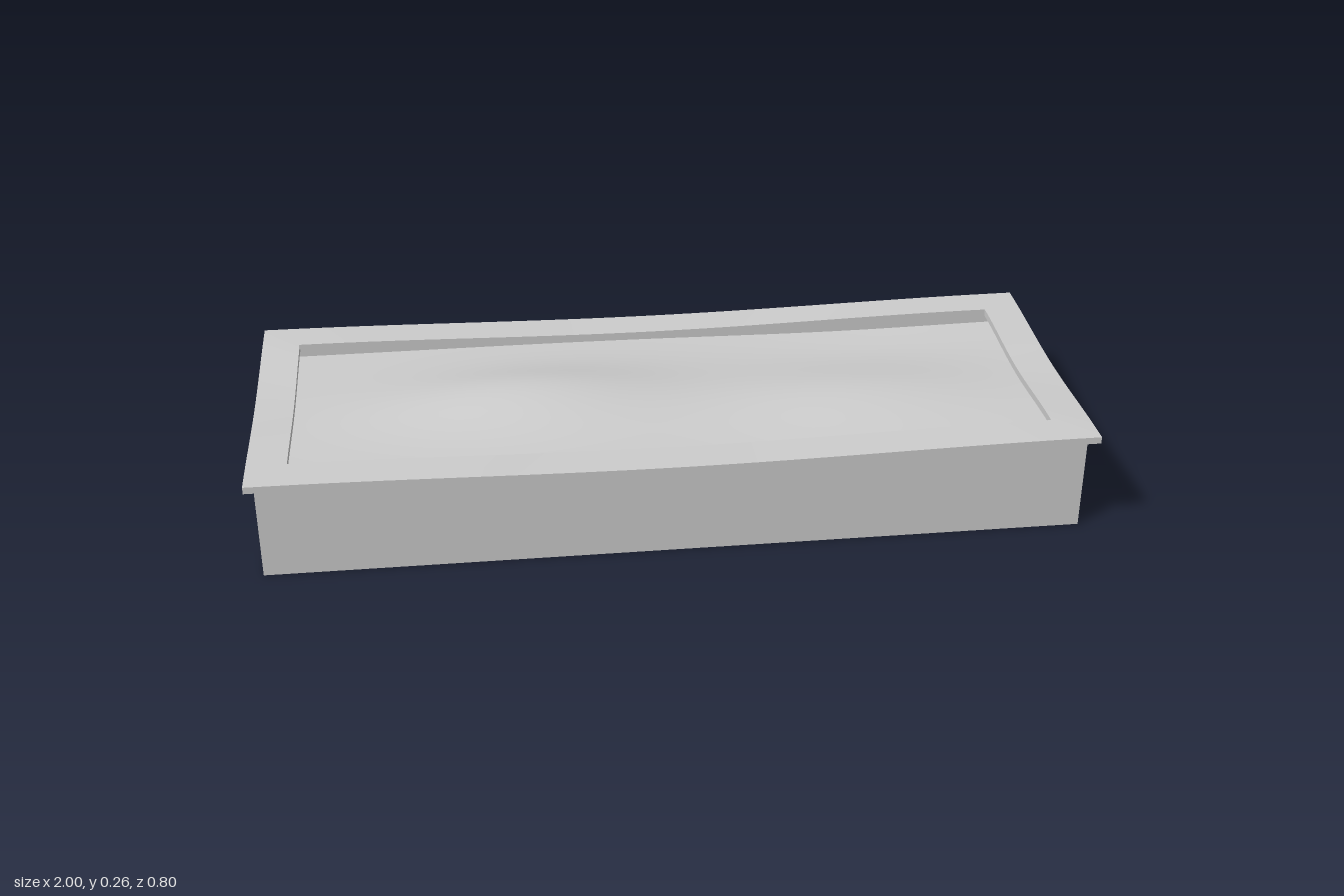
import * as THREE from 'three';

const material = new THREE.MeshStandardMaterial({ color: 0xcccccc });
const openMaterial = new THREE.MeshStandardMaterial({ color: 0xcccccc, side: THREE.DoubleSide });

function add(parent, name, geometry, mat = material) {
  const mesh = new THREE.Mesh(geometry, mat);
  mesh.name = name;
  parent.add(mesh);
  return mesh;
}

// Moves every vertex by a rule and refreshes the normals
function reshape(geometry, rule) {
  const p = geometry.attributes.position;
  const v = new THREE.Vector3();
  for (let i = 0; i < p.count; i++) {
    rule(v.fromBufferAttribute(p, i));
    p.setXYZ(i, v.x, v.y, v.z);
  }
  geometry.computeVertexNormals();
  return geometry;
}

function rectangle(shape, hx, hz) {
  shape.moveTo(-hx, -hz).lineTo(hx, -hz).lineTo(hx, hz).lineTo(-hx, hz).closePath();
  return shape;
}

// One mitred rim board that sags towards its middle
function rimBoard(halfLength, halfDepth, sag) {
  const width = 0.095, thickness = 0.017, top = 0.262;
  const board = new THREE.BoxGeometry(2, thickness, width, 32, 1, 1);
  return reshape(board, (v) => {
    const dip = sag * (0.5 + 0.5 * Math.cos(Math.PI * v.x));
    const inset = width / 2 - v.z;
    v.set(v.x * (halfLength - inset), top - thickness / 2 + v.y - dip, halfDepth - inset);
  });
}

const bump = (x, z, cx, cz, rx, rz) =>
  Math.exp(-(((x - cx) / rx) ** 2) - ((z - cz) / rz) ** 2);

// Uneven filling: a mound on one half, a lower ridge on the other
function soilHeight(x, z) {
  return 0.205
    + 0.05 * bump(x, z, -0.32, -0.03, 0.36, 0.16)
    + 0.025 * bump(x, z, 0.5, 0.03, 0.34, 0.15)
    - 0.012 * bump(x, z, 0.25, 0.33, 0.35, 0.15)
    - 0.012 * bump(x, z, 0.5, -0.25, 0.4, 0.14);
}

export function createModel() {
  const group = new THREE.Group();
  group.name = 'planter';

  // Walls and floor
  const outline = rectangle(new THREE.Shape(), 0.98, 0.365);
  outline.holes.push(rectangle(new THREE.Path(), 0.965, 0.35));
  const walls = new THREE.ExtrudeGeometry(outline, { depth: 0.242, bevelEnabled: false });
  add(group, 'walls', walls.rotateX(-Math.PI / 2));
  add(group, 'floor', new THREE.BoxGeometry(1.93, 0.02, 0.7).translate(0, 0.01, 0));

  // Soil
  const soil = new THREE.PlaneGeometry(1.94, 0.71, 72, 36).rotateX(-Math.PI / 2);
  add(group, 'soil', reshape(soil, (v) => { v.y = soilHeight(v.x, v.z); }), openMaterial);

  // Rim
  const rim = new THREE.Group();
  rim.name = 'rim';
  group.add(rim);
  const names = ['frontRim', 'leftRim', 'backRim', 'rightRim'];
  names.forEach((name, i) => {
    const board = i % 2 ? rimBoard(0.4, 1, 0.013) : rimBoard(1, 0.4, 0.014);
    add(rim, name, board).rotation.y = i * Math.PI / 2;
  });

  return group;
}
